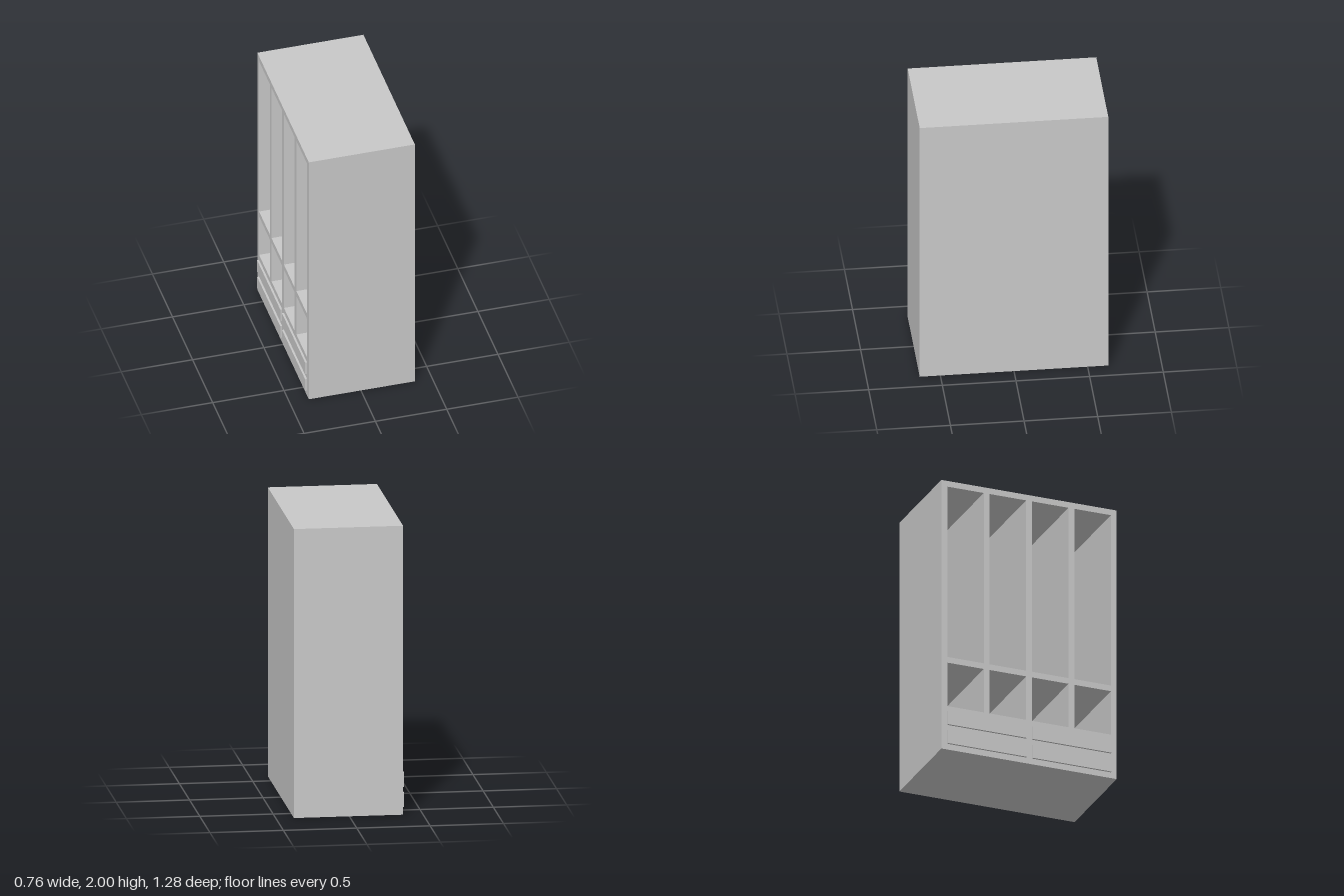
import * as THREE from 'three';

const T = 0.0426;                        // board thickness
const HALF_Z = 0.64, HEIGHT = 2;
const OPEN_X = -0.3655, BACK_X = 0.378;  // open face looks towards -x
const PROUD = 0.0135;                    // drawers stand out from the frame
const DRAWER_H = 0.098;

// Evenly spaced bays across the width, one board apart: [zStart, zEnd]
function bays(count) {
  const w = (2 * HALF_Z - (count + 1) * T) / count;
  return Array.from({ length: count }, (_, i) => {
    const z = -HALF_Z + T + i * (w + T);
    return [z, z + w];
  });
}

export function createModel() {
  const model = new THREE.Group();
  model.name = 'wardrobe';
  const grey = new THREE.MeshStandardMaterial({ color: 0xc8c8c8 });
  grey.name = 'light grey';

  const add = (name, geometry, x = 0, y = 0, z = 0) => {
    const mesh = new THREE.Mesh(geometry, grey);
    mesh.name = name;
    mesh.position.set(x, y, z);
    model.add(mesh);
  };

  // Rows of openings, bottom to top
  const drawerRows = [0, 1].map(i => {
    const y = T + i * (DRAWER_H + T);
    return [y, y + DRAWER_H];
  });
  const cubbyRow = [drawerRows[1][1] + T, 0.647];
  const tallRow = [cubbyRow[1] + T, HEIGHT - T];

  // Carcass: outer boards, dividers and shelves as one pierced block
  const outline = new THREE.Shape()
    .moveTo(-HALF_Z, 0).lineTo(HALF_Z, 0)
    .lineTo(HALF_Z, HEIGHT).lineTo(-HALF_Z, HEIGHT).closePath();
  const pierce = ([z0, z1], [y0, y1]) => outline.holes.push(
    new THREE.Path().moveTo(z0, y0).lineTo(z0, y1).lineTo(z1, y1).lineTo(z1, y0).closePath());
  for (const bay of bays(4)) {
    pierce(bay, cubbyRow);
    pierce(bay, tallRow);
  }
  for (const bay of bays(2)) for (const row of drawerRows) pierce(bay, row);

  const innerX = BACK_X - T;
  const carcass = new THREE.ExtrudeGeometry(outline, { depth: innerX - OPEN_X, bevelEnabled: false });
  carcass.rotateY(-Math.PI / 2);
  add('carcass', carcass, innerX);

  // Closed back
  add('backPanel', new THREE.BoxGeometry(T, HEIGHT, 2 * HALF_Z), BACK_X - T / 2, HEIGHT / 2, 0);

  // Two by two drawers filling the lower openings
  const frontX = OPEN_X - PROUD;
  for (const [z0, z1] of bays(2)) {
    for (const [y0, y1] of drawerRows) {
      add('drawer', new THREE.BoxGeometry(innerX - frontX, y1 - y0, z1 - z0),
        (innerX + frontX) / 2, (y0 + y1) / 2, (z0 + z1) / 2);
    }
  }
  return model;
}
